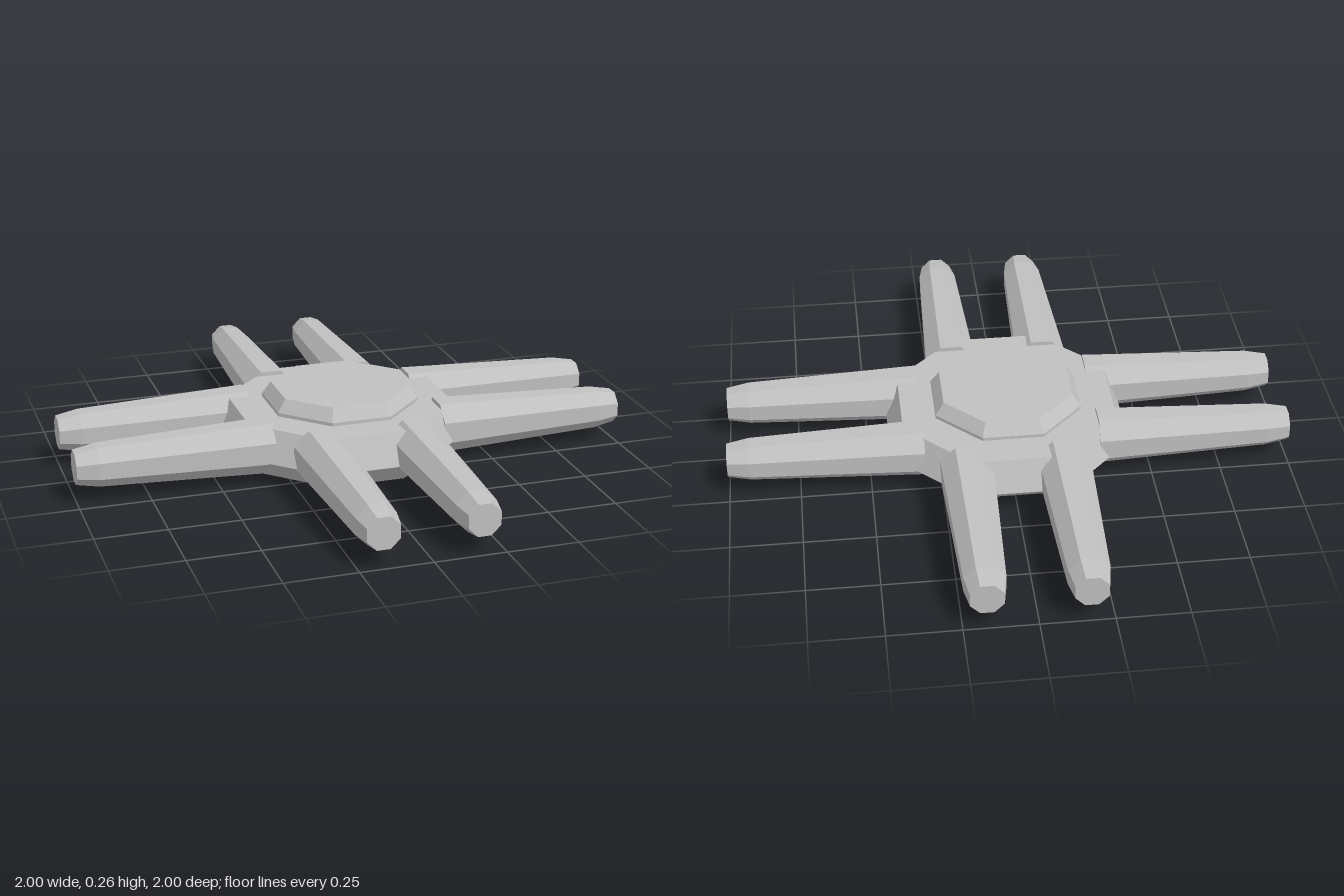
import * as THREE from 'three';

// Closed eight-sided solid from [flat-to-centre radius, height] pairs, flats on the axes
function octagonSolid(profile) {
  const points = profile.map(([r, y]) => new THREE.Vector2(r / Math.cos(Math.PI / 8), y));
  return new THREE.LatheGeometry(points, 8).rotateY(Math.PI / 8);
}

export function createModel() {
  const model = new THREE.Group();
  model.name = 'eightArmedHub';

  const grey = new THREE.MeshStandardMaterial({ color: 0xc0c0c0, flatShading: true });
  grey.name = 'light grey';

  // Central hub, widest just below its middle
  const hub = new THREE.Mesh(
    octagonSolid([[0, 0], [0.325, 0], [0.427, 0.09], [0.38, 0.2], [0, 0.2]]), grey);
  hub.name = 'hub';
  model.add(hub);

  // Raised bevelled platform on the hub
  const platform = new THREE.Mesh(
    octagonSolid([[0, 0.19], [0.26, 0.19], [0.26, 0.212], [0.23, 0.257], [0, 0.257]]), grey);
  platform.name = 'topPlatform';
  model.add(platform);

  // Tapered arms, one pair on each of the four sides
  const armGeometry = octagonSolid(
    [[0, 0.31], [0.092, 0.31], [0.07, 0.92], [0.056, 1], [0, 1]]).rotateX(Math.PI / 2);
  ['front', 'left', 'back', 'right'].forEach((side, i) => {
    const pair = new THREE.Group();
    pair.name = side + 'Arms';
    for (const x of [-0.17, 0.17]) {
      const arm = new THREE.Mesh(armGeometry, grey);
      arm.name = side + 'Arm';
      arm.position.set(x, 0.123, 0);
      pair.add(arm);
    }
    pair.rotation.y = i * Math.PI / 2;
    model.add(pair);
  });

  return model;
}
